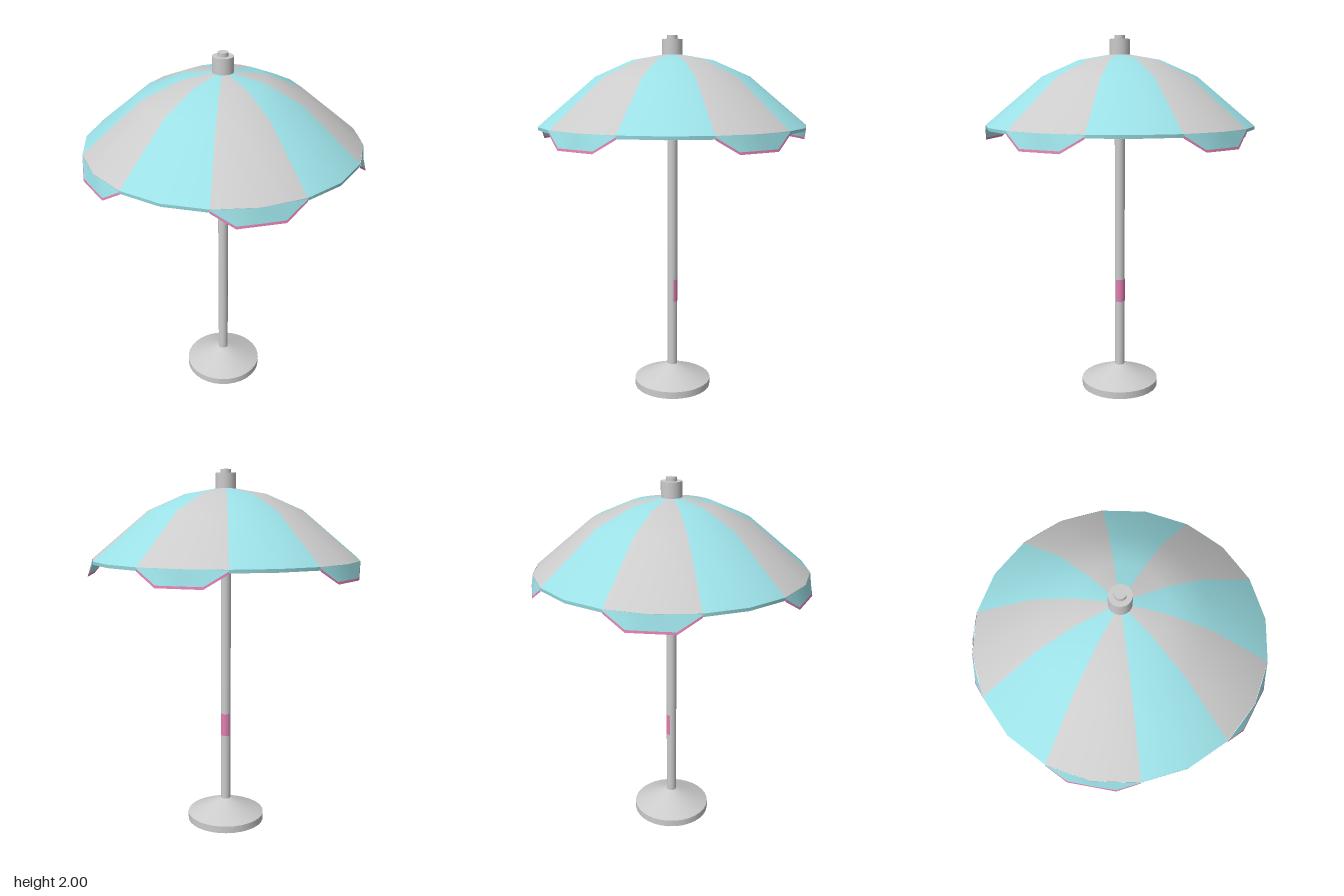
import * as THREE from 'three';

const DEG = Math.PI / 180;
const material = (color) => new THREE.MeshStandardMaterial({ color, side: THREE.DoubleSide });
const grey = material(0xcccccc);
const teal = material(0x9be0e6);
const pink = material(0xe07fb0);

function add(parent, name, geometry, mat) {
  const mesh = new THREE.Mesh(geometry, mat);
  mesh.name = name;
  parent.add(mesh);
  return mesh;
}

// Capped cylinder or cone frustum standing between two heights
function post(parent, name, rTop, rBottom, y0, y1, mat = grey, sides = 24) {
  const geo = new THREE.CylinderGeometry(rTop, rBottom, y1 - y0, sides);
  geo.translate(0, (y0 + y1) / 2, 0);
  return add(parent, name, geo, mat);
}

// Sheet between two rows of points, upper row first, running left to right
function sheet(upper, lower) {
  const geo = new THREE.BufferGeometry().setFromPoints([...upper, ...lower]);
  const n = upper.length;
  const index = [];
  for (let i = 0; i < n - 1; i++) {
    index.push(i, n + i, n + i + 1, i, n + i + 1, i + 1);
  }
  geo.setIndex(index);
  geo.computeVertexNormals();
  return geo;
}

const polar = (deg, r, y) =>
  new THREE.Vector3(r * Math.sin(deg * DEG), y, r * Math.cos(deg * DEG));

// One hanging flap with a contrasting hem
function makeFlap(start) {
  const flap = new THREE.Group();
  flap.name = 'valanceFlap';
  const angles = [0, 9, 18, 27, 36];
  const chord = Math.cos(9 * DEG);
  const topR = [0.731, 0.731 * chord + 0.001, 0.731, 0.731 * chord + 0.001, 0.731];
  const hemR = [0.731, 0.75, 0.75 * chord, 0.75, 0.731];
  const hemY = [1.505, 1.436, 1.436, 1.436, 1.505];
  const top = angles.map((a, i) => polar(start + a, topR[i], 1.525));
  const bottom = angles.map((a, i) => polar(start + a, hemR[i], hemY[i]));
  const seam = bottom.map((p, i) => p.clone().lerp(top[i], 0.012 / (1.525 - hemY[i])));
  add(flap, 'flapCloth', sheet(top, seam), teal);
  add(flap, 'flapHem', sheet(seam, bottom), pink);
  return flap;
}

export function createModel() {
  const parasol = new THREE.Group();
  parasol.name = 'parasol';

  // Weighted foot
  post(parasol, 'baseDisc', 0.22, 0.22, 0, 0.04, grey, 32);
  post(parasol, 'baseCone', 0.03, 0.22, 0.04, 0.125, grey, 32);

  // Pole with a coloured patch part of the way round
  post(parasol, 'pole', 0.028, 0.028, 0.1, 1.86);
  const patch = new THREE.CylinderGeometry(0.029, 0.029, 0.13, 14, 1, true, 70 * DEG, 155 * DEG);
  patch.translate(0, 0.575, 0);
  add(parasol, 'polePatch', patch, pink);

  // Flared support under the canopy, and the cap on top of it
  post(parasol, 'underHub', 0.115, 0.028, 1.73, 1.85);
  post(parasol, 'capCollar', 0.055, 0.055, 1.86, 1.98);
  post(parasol, 'capButton', 0.028, 0.028, 1.98, 2.0);

  // Canopy: ten panels, alternating colours, each with top, rim and lining
  const canopy = new THREE.Group();
  canopy.name = 'canopy';
  const profiles = {
    panelTop: [[0.73, 1.525], [0.42, 1.783], [0.22, 1.87], [0, 1.908]],
    panelRim: [[0.728, 1.508], [0.73, 1.525]],
    panelLining: [[0, 1.89], [0.216, 1.853], [0.412, 1.768], [0.728, 1.508]],
  };
  for (let k = 0; k < 10; k++) {
    for (const [name, profile] of Object.entries(profiles)) {
      const points = profile.map(([r, y]) => new THREE.Vector2(r, y));
      const geo = new THREE.LatheGeometry(points, 2, k * 36 * DEG, 36 * DEG);
      const mat = k % 2 ? teal : grey;
      add(canopy, name, geo, mat);
    }
    // Flaps hang below every other panel
    if (k % 2 === 0) canopy.add(makeFlap(k * 36));
  }
  parasol.add(canopy);

  parasol.position.x = -0.01;
  const model = new THREE.Group();
  model.name = 'parasolModel';
  model.add(parasol);
  return model;
}
